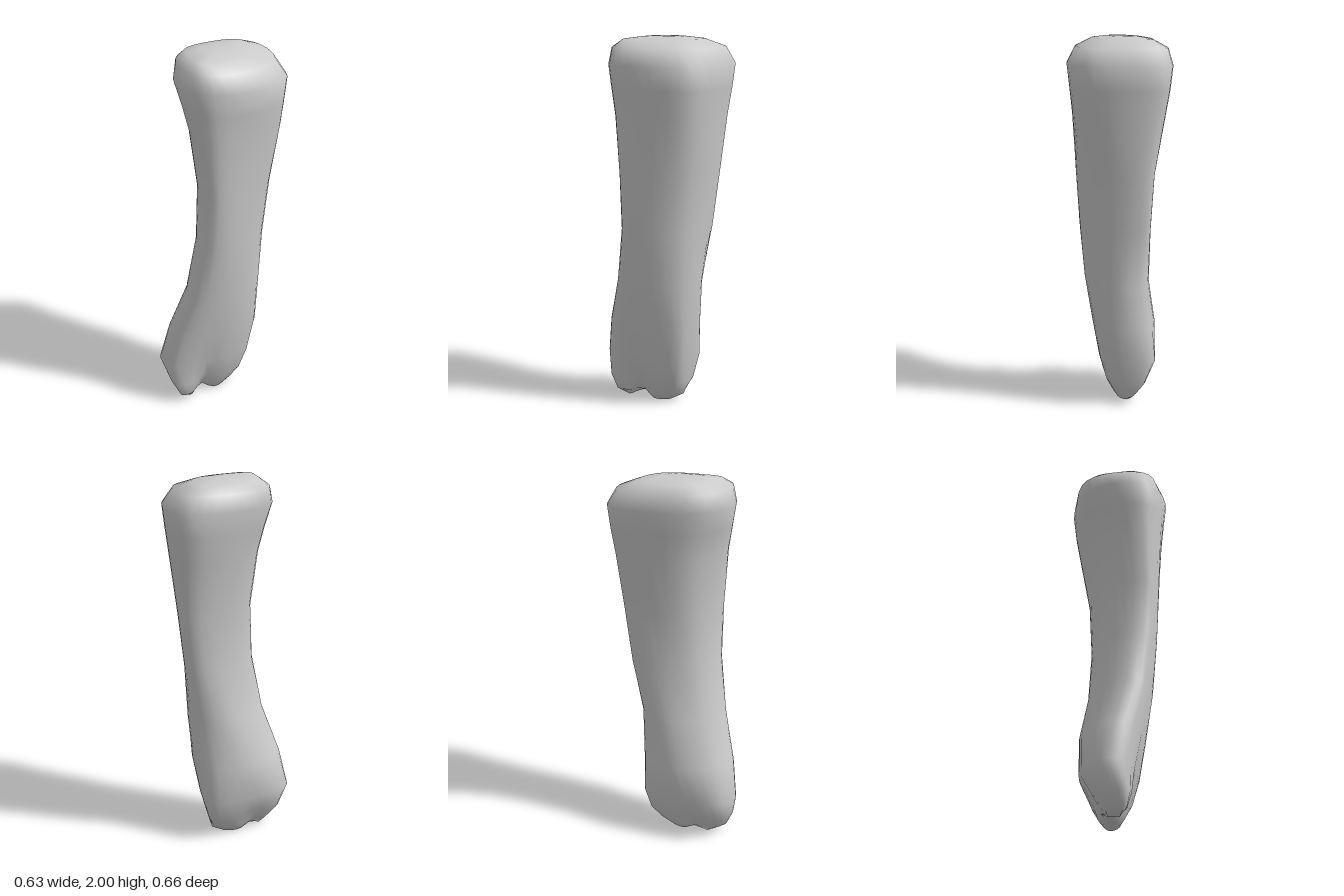
import * as THREE from 'three';
import { mergeVertices } from 'three/addons/utils/BufferGeometryUtils.js';

const SIDES = 32;

// Each section: height, then its reach in eight directions, from +x round through +z, -x and -z
const SECTIONS = [
  [1.985, 0.13, 0.15, 0.25, 0.21, 0.19, 0.14, 0.17, 0.15],
  [1.945, 0.25, 0.25, 0.315, 0.27, 0.235, 0.21, 0.28, 0.25],
  [1.86, 0.315, 0.3, 0.335, 0.295, 0.24, 0.23, 0.325, 0.3],
  [1.74, 0.302, 0.285, 0.325, 0.265, 0.205, 0.215, 0.31, 0.285],
  [1.6, 0.285, 0.27, 0.31, 0.235, 0.17, 0.19, 0.285, 0.265],
  [1.3, 0.235, 0.25, 0.295, 0.205, 0.125, 0.135, 0.24, 0.235],
  [1.0, 0.205, 0.235, 0.28, 0.215, 0.125, 0.12, 0.205, 0.2],
  [0.7, 0.185, 0.21, 0.287, 0.27, 0.168, 0.13, 0.15, 0.175],
  [0.45, 0.17, 0.17, 0.3, 0.352, 0.262, 0.17, 0.158, 0.15],
  [0.25, 0.13, 0.135, 0.3, 0.39, 0.315, 0.165, 0.168, 0.115],
  [0.12, 0.085, 0.105, 0.3, 0.35, 0.265, 0.1, 0.125, 0.085],
  [0.04, 0.03, 0.08, 0.27, 0.31, 0.2, 0.07, 0.06, 0.06],
];

// Smooth closed loop touching the eight sides of the octagon given by the reaches
function sectionLoop([y, ...reach]) {
  const corners = reach.map((a, i) => {
    const b = reach[(i + 1) % 8];
    const t = (i * Math.PI) / 4;
    const along = (b - a * Math.SQRT1_2) / Math.SQRT1_2;
    return new THREE.Vector3(
      a * Math.cos(t) - along * Math.sin(t), y, a * Math.sin(t) + along * Math.cos(t));
  });
  const mids = corners.map((c, i) => c.clone().add(corners[(i + 7) % 8]).multiplyScalar(0.5));
  const curve = new THREE.CatmullRomCurve3(mids, true);
  return Array.from({ length: SIDES }, (_, j) => curve.getPoint(j / SIDES));
}

function centreOf(loop) {
  return loop.reduce((s, p) => s.add(p), new THREE.Vector3()).divideScalar(loop.length);
}

function shrink(loop, k, y) {
  const c = centreOf(loop);
  return loop.map((p) => p.clone().sub(c).multiplyScalar(k).add(c).setY(y));
}

// Groove that parts the two rounded knobs of the lower end
function carveGroove(p) {
  if (p.y > 0.3) return;
  const u = (p.x - p.z) * Math.SQRT1_2;
  const v = (p.x + p.z) * Math.SQRT1_2;
  const depth = Math.exp(-(((u + 0.17) / 0.05) ** 2)) * (1 - p.y / 0.3);
  if (v > 0) {
    const inward = 0.05 * depth * Math.SQRT1_2;
    p.x -= inward;
    p.z -= inward;
  }
  p.y += 0.035 * depth;
}

function boneGeometry() {
  const loops = SECTIONS.map(sectionLoop);
  const first = loops[0];
  const last = loops[loops.length - 1];
  loops.unshift(shrink(first, 0, 2), shrink(first, 0.5, 1.997));
  loops.push(shrink(last, 0.65, 0.002), shrink(last, 0.3, 0.006), shrink(last, 0, 0.01));
  loops.flat().forEach(carveGroove);

  const index = [];
  for (let i = 0; i < loops.length - 1; i++) {
    for (let j = 0; j < SIDES; j++) {
      const k = (j + 1) % SIDES;
      const a = i * SIDES + j, c = i * SIDES + k;
      const b = a + SIDES, d = c + SIDES;
      if (i > 0) index.push(a, c, b);
      if (i < loops.length - 2) index.push(c, d, b);
      else index.push();
    }
  }
  const raw = new THREE.BufferGeometry().setFromPoints(loops.flat());
  raw.setIndex(index);
  const geometry = mergeVertices(raw, 1e-5);
  geometry.computeVertexNormals();
  return geometry;
}

export function createModel() {
  const model = new THREE.Group();
  model.name = 'bone';
  // One continuous surface: broad head, waisted shaft and flattened, twisted lower end
  const bone = new THREE.Mesh(
    boneGeometry(), new THREE.MeshStandardMaterial({ color: 0xcccccc }));
  bone.name = 'boneShaft';
  model.add(bone);
  return model;
}
